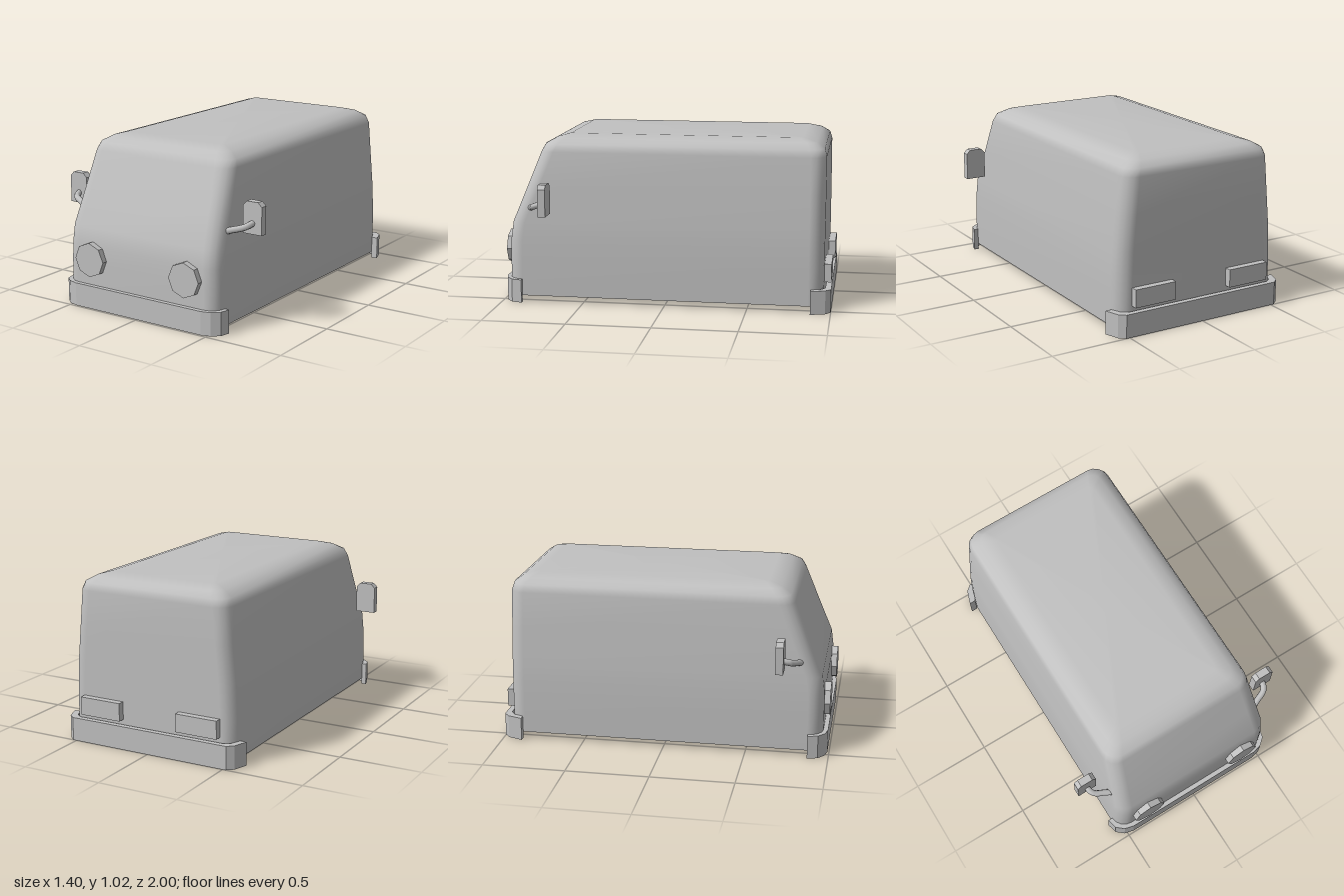
import * as THREE from 'three';

const paint = new THREE.MeshStandardMaterial({ color: 0xc0c0c0, side: THREE.DoubleSide });
paint.name = 'grey';

function add(parent, name, geometry) {
  const mesh = new THREE.Mesh(geometry, paint);
  mesh.name = name;
  parent.add(mesh);
  return mesh;
}

// Body shell: stacked rounded rectangles, closed on top and open below.
// Each section: height, half width, front z, back z, corner radius.
const sections = [
  [0.04, 0.55, 0.962, -0.956, 0.09],
  [0.26, 0.549, 0.962, -0.956, 0.09],
  [0.38, 0.545, 0.96, -0.956, 0.09],
  [0.49, 0.54, 0.945, -0.956, 0.09],
  [0.7, 0.52, 0.859, -0.956, 0.09],
  [0.92, 0.5, 0.77, -0.955, 0.09],
  [0.965, 0.482, 0.745, -0.942, 0.085],
  [0.998, 0.425, 0.685, -0.893, 0.06],
  [1.02, 0.346, 0.602, -0.808, 0.02],
];

function bodyGeometry() {
  const steps = 4, ring = 4 * (steps + 1), pos = [], index = [];
  for (const [y, w, front, back, r] of sections) {
    for (let c = 0; c < 4; c++) {
      const cx = (c === 0 || c === 3 ? 1 : -1) * (w - r);
      const cz = c < 2 ? front - r : back + r;
      for (let s = 0; s <= steps; s++) {
        const a = (c + s / steps) * Math.PI / 2;
        pos.push(cx + r * Math.cos(a), y, cz + r * Math.sin(a));
      }
    }
  }
  for (let i = 0; i < sections.length - 1; i++) {
    for (let j = 0; j < ring; j++) {
      const a = i * ring + j, b = i * ring + (j + 1) % ring;
      index.push(a, a + ring, b, b, a + ring, b + ring);
    }
  }
  // Flat roof panel
  const last = (sections.length - 1) * ring, centre = pos.length / 3;
  pos.push(0, 1.02, -0.1);
  for (let j = 0; j < ring; j++) index.push(centre, last + (j + 1) % ring, last + j);
  const g = new THREE.BufferGeometry();
  g.setAttribute('position', new THREE.Float32BufferAttribute(pos, 3));
  g.setIndex(index);
  g.computeVertexNormals();
  return g;
}

// Bumper: half outline in x and z, mirrored into a U shape and raised
function bumperGeometry(outer, inner) {
  const mirror = (pts) => [
    ...pts.map(([x, z]) => new THREE.Vector2(x, -z)),
    ...pts.slice().reverse().map(([x, z]) => new THREE.Vector2(-x, -z)),
  ];
  const shape = new THREE.Shape([...mirror(outer), ...mirror(inner).reverse()]);
  const g = new THREE.ExtrudeGeometry(shape, { depth: 0.142, bevelEnabled: false });
  return g.rotateX(-Math.PI / 2);
}

// Mirror plate with cut top corners
function mirrorGeometry() {
  const shape = new THREE.Shape([
    [-0.0625, 0.56], [0.0625, 0.56], [0.0625, 0.725],
    [0.038, 0.75], [-0.038, 0.75], [-0.0625, 0.725],
  ].map(([x, y]) => new THREE.Vector2(x, y)));
  return new THREE.ExtrudeGeometry(shape, { depth: 0.046, bevelEnabled: false });
}

export function createModel() {
  const van = new THREE.Group();
  van.name = 'van';

  add(van, 'body', bodyGeometry());

  add(van, 'frontBumper', bumperGeometry(
    [[0.578, 0.875], [0.563, 0.937], [0.518, 0.975], [0.46, 0.99]],
    [[0.548, 0.875], [0.533, 0.92], [0.5, 0.948], [0.45, 0.96]]));
  add(van, 'backBumper', bumperGeometry(
    [[0.59, -0.88], [0.56, -0.968], [0.522, -1]],
    [[0.55, -0.88], [0.525, -0.94], [0.49, -0.965]]));

  for (const side of [-1, 1]) {
    const label = side > 0 ? 'left' : 'right';

    // Eight-sided headlight: open tube with a front disc
    const lamp = new THREE.Group();
    lamp.name = label + 'Headlight';
    lamp.position.set(side * 0.345, 0.305, 0);
    const rim = new THREE.CylinderGeometry(0.105, 0.105, 0.06, 8, 1, true).toNonIndexed();
    rim.computeVertexNormals();
    add(lamp, 'headlightRim', rim.rotateX(Math.PI / 2)).position.z = 0.966;
    add(lamp, 'headlightLens', new THREE.CircleGeometry(0.105, 8)).position.z = 0.996;
    van.add(lamp);

    // Tail light
    add(van, label + 'TailLight', new THREE.BoxGeometry(0.27, 0.11, 0.045))
      .position.set(side * 0.325, 0.225, -0.9755);

    // Wing mirror on a bent arm
    add(van, label + 'Mirror', mirrorGeometry()).position.set(side * 0.6375, 0, 0.685);
    const arm = new THREE.CatmullRomCurve3([
      [0.505, 0.578, 0.825], [0.56, 0.592, 0.8], [0.608, 0.605, 0.78],
      [0.628, 0.615, 0.76], [0.638, 0.625, 0.72],
    ].map(([x, y, z]) => new THREE.Vector3(side * x, y, z)));
    add(van, label + 'MirrorArm', new THREE.TubeGeometry(arm, 10, 0.019, 8));
  }
  return van;
}
